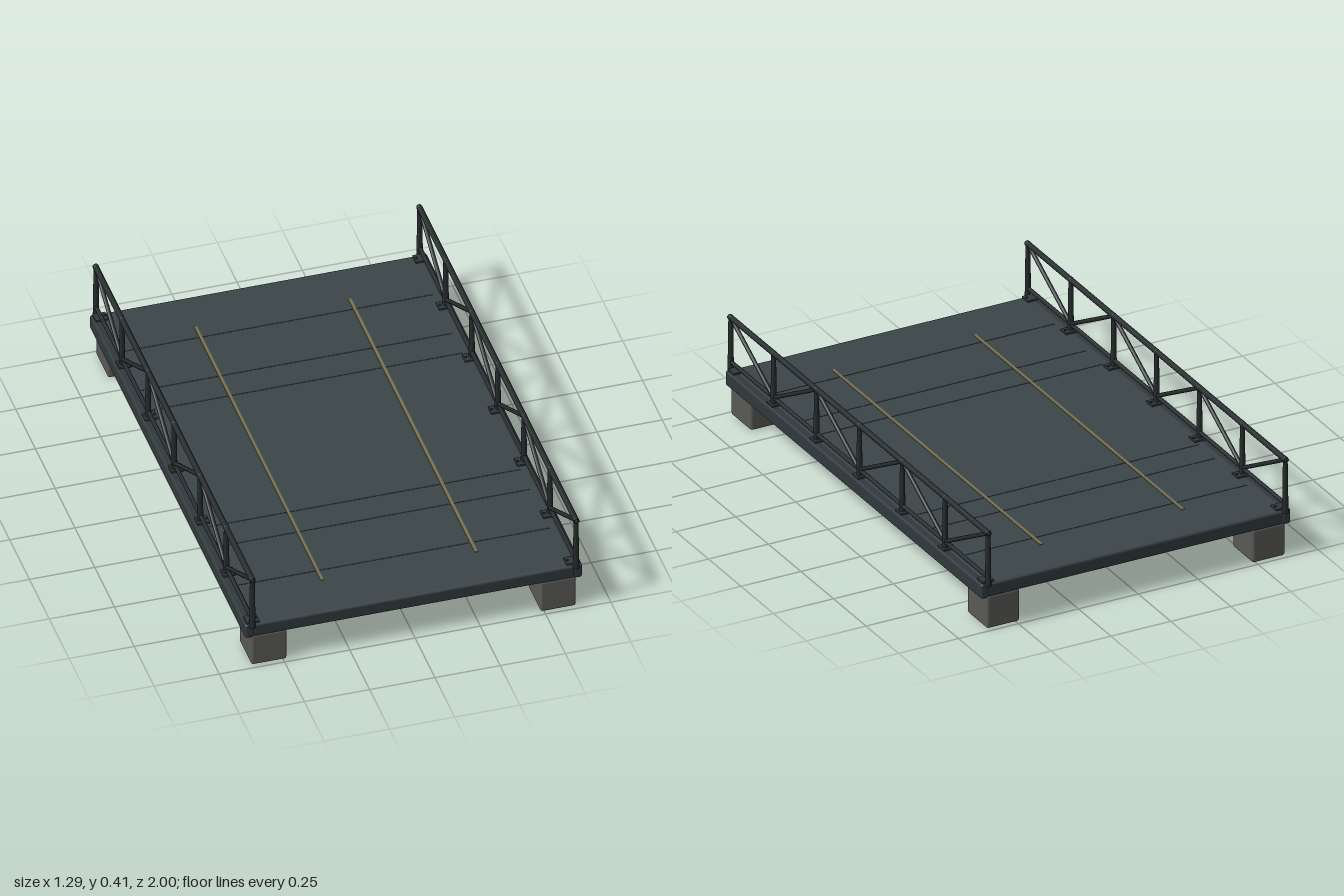
import * as THREE from 'three';
import { RoundedBoxGeometry } from 'three/addons/geometries/RoundedBoxGeometry.js';

const paint = (color) => new THREE.MeshStandardMaterial({ color });
const deckMat = paint(0x3b4448);
const beamMat = paint(0x30393c);
const railMat = paint(0x252b2d);
const seamMat = paint(0x2b3235);
const lineMat = paint(0x77704f);
const footMat = paint(0x585955);

function add(parent, name, geometry, material, x, y, z) {
  const mesh = new THREE.Mesh(geometry, material);
  mesh.name = name;
  mesh.position.set(x, y, z);
  parent.add(mesh);
  return mesh;
}

const block = (w, h, d, r) => new RoundedBoxGeometry(w, h, d, 2, r);

// Round bar between two points, optionally tapered towards the second
function bar(parent, name, from, to, r0, r1 = r0) {
  const a = new THREE.Vector3(...from);
  const b = new THREE.Vector3(...to);
  const dir = b.clone().sub(a);
  const mid = a.clone().add(b).multiplyScalar(0.5);
  const mesh = add(parent, name, new THREE.CylinderGeometry(r1, r0, dir.length(), 10),
    railMat, mid.x, mid.y, mid.z);
  mesh.quaternion.setFromUnitVectors(new THREE.Vector3(0, 1, 0), dir.normalize());
}

// Truss railing along one side of the deck
function railing(side) {
  const g = new THREE.Group();
  g.name = side > 0 ? 'leftRailing' : 'rightRailing';
  const x = 0.62 * side, low = 0.215, high = 0.397, bays = 6, end = 0.988;
  const zAt = (i) => end - (i * 2 * end) / bays;

  bar(g, 'topRail', [x, high, end + 0.008], [x, high, -end - 0.008], 0.011);
  bar(g, 'bottomRail', [x, low, end], [x, low, -end], 0.008);
  for (let i = 0; i <= bays; i++) {
    const z = zAt(i);
    bar(g, 'post', [x, 0.18, z], [x, high, z], 0.012, 0.009);
    add(g, 'postCap', new THREE.SphereGeometry(0.012, 10, 8), railMat, x, high, z);
    // Foot plate with a bolt on the deck side
    const pz = THREE.MathUtils.clamp(z, -0.955, 0.955);
    add(g, 'footPlate', block(0.05, 0.008, 0.045, 0.002), beamMat, 0.613 * side, 0.19, pz);
    add(g, 'plateBolt', new THREE.CylinderGeometry(0.005, 0.005, 0.005, 6), railMat,
      0.597 * side, 0.195, pz);
    // Zigzag brace
    if (i < bays) {
      const [y0, y1] = i % 2 === 0 ? [high, low] : [low, high];
      bar(g, 'diagonalBrace', [x, y0, z], [x, y1, zAt(i + 1)], 0.008);
    }
  }
  return g;
}

export function createModel() {
  const model = new THREE.Group();

  // Deck slab with edge beams
  add(model, 'deck', block(1.25, 0.055, 1.965, 0.008), deckMat, 0, 0.158, 0);
  for (const s of [-1, 1]) {
    add(model, 'sideBeam', block(0.034, 0.06, 1.97, 0.009), beamMat, 0.629 * s, 0.157, 0);
    add(model, 'endBeam', block(1.23, 0.05, 0.024, 0.006), beamMat, 0, 0.157, 0.973 * s);
  }

  // Plank seams across the deck
  for (const z of [0.368, 0.493, 0.738]) {
    for (const s of [-1, 1]) {
      add(model, 'deckSeam', new THREE.BoxGeometry(1.19, 0.002, 0.005), seamMat, 0, 0.1855, z * s);
    }
  }

  // Painted lane lines
  for (const s of [-1, 1]) {
    add(model, 'laneLine', new THREE.BoxGeometry(0.012, 0.003, 1.6), lineMat, 0.295 * s, 0.1865, 0);
  }

  // Corner footings
  for (const sx of [-1, 1]) {
    for (const sz of [-1, 1]) {
      add(model, 'footing', block(0.136, 0.135, 0.155, 0.01), footMat, 0.554 * sx, 0.0675, 0.907 * sz);
    }
  }

  model.add(railing(1), railing(-1));
  return model;
}
